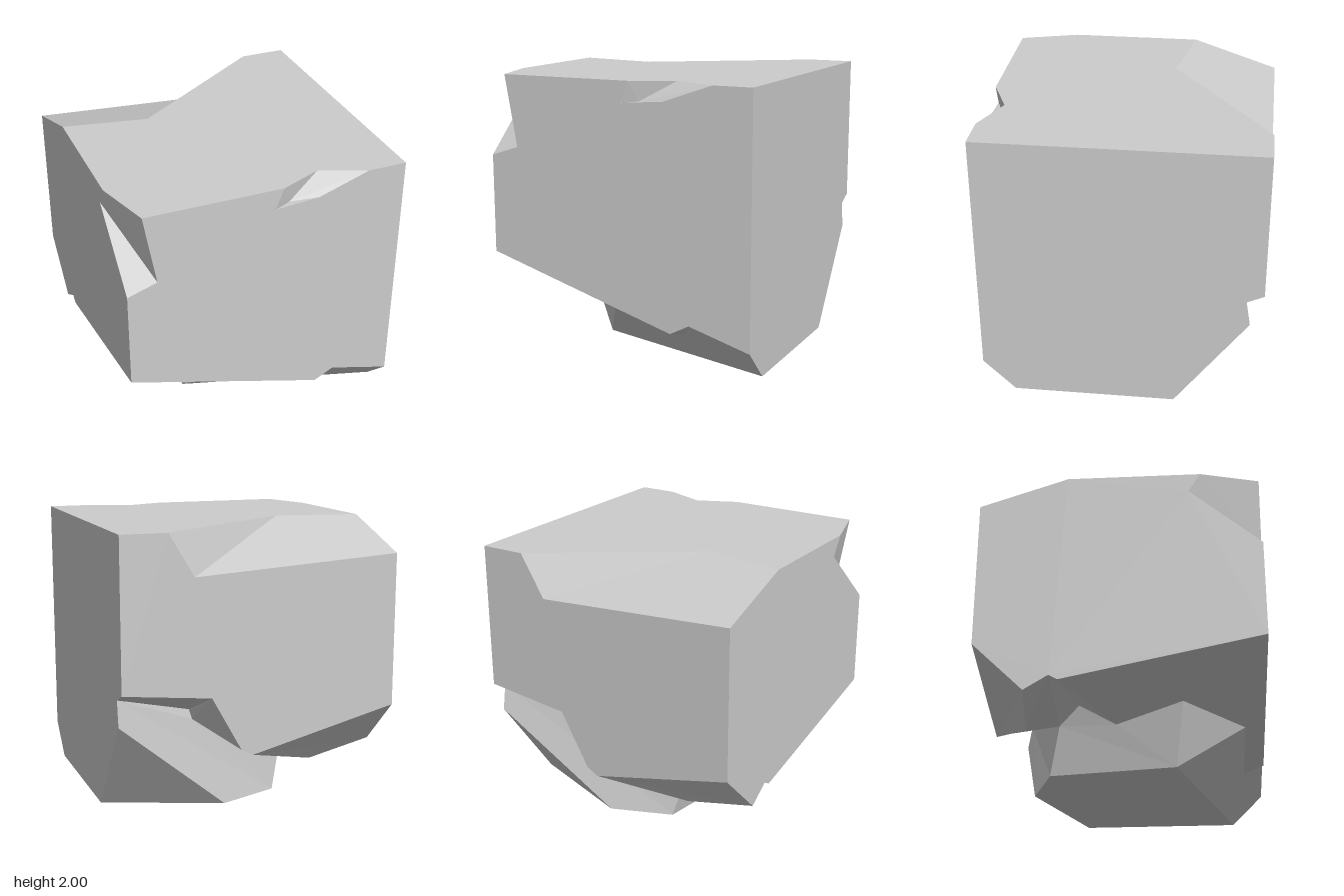
import * as THREE from 'three';

// Corners of the chipped block, grouped by where they sit
const P = {
  // full cube corners
  c1: [1, 2, 1], c2: [1, 2, -1],
  // front top notch
  a1: [0.1, 2, 1], a2: [0.04, 1.85, 1], a3: [0.16, 1.86, 0.955], a4: [0.4, 2, 0.87],
  a5: [0.72, 2, 1], a6: [0.36, 1.875, 1],
  // front corner chip
  b1: [-0.88, 2, 1], b2: [-1, 2, 0.58], b3: [-1, 1.86, 0.49], b4: [-0.79, 1.49, 1], b5: [-1, 1.42, 1],
  // back corner chip
  d1: [0.67, 2, -1], d2: [-0.4, 2, -0.26], d3: [0.49, 1.7, -1], d4: [-1, 2, -0.37], d5: [-1, 1.79, -1],
  // foot
  f1: [1, 0, 0.77], f2: [1, 0, -0.39], f3: [0.17, 0, -0.71], f4: [-0.27, 0, -0.54], f5: [-0.4, 0, 0.36],
  // lower front
  g1: [1, 0.23, 1], g2: [0.55, 0.36, 1], g3: [0.41, 0.285, 1], g4: [0.46, 0.24, 0.852],
  g5: [-0.09, 0.405, 0.856], g6: [-0.52, 0.445, 0.415], g7: [-1, 0.71, 1],
  // lower left side
  h1: [-1, 0.42, -0.41], h2: [-1, 0.455, -0.47], h3: [-1, 0.35, -0.64], h4: [-0.42, 0.32, -0.06],
  h5: [-0.425, 0.47, -0.325], h6: [-0.36, 0.34, -0.47], h7: [-0.5, 0.26, -0.69],
  // lower back
  k1: [1, 0.7, -0.91], k2: [1, 0.885, -0.88], k3: [1, 0.94, -1], k4: [0.37, 0.87, -1],
  k5: [0.43, 0.72, -0.69], k6: [0.41, 0.65, -0.7], k7: [0.155, 0.485, -1], k8: [0.07, 0.44, -1],
  k9: [-1, 0.7, -1],
};

// Each part is a list of facets: corner loop + rough outward direction
const PARTS = {
  topFace: [['c1 c2 d1 d2 d4 b2 b1 a1 a4 a5', [0, 1, 0]]],
  frontFace: [['g1 c1 a5 a6 a2 a1 b1 b4 b5 g7 g3 g2', [0, 0, 1]]],
  rightFace: [['c1 g1 f1 f2 k1 k2 k3 c2', [1, 0, 0]]],
  leftFace: [['b5 g7 h1 h2 h3 k9 d5 d4 b2 b3', [-1, 0, 0]]],
  backFace: [['c2 k3 k4 k7 k8 k9 d5 d3 d1', [0, 0, -1]]],
  bottomFace: [['f1 f2 f3 f4 f5', [0, -1, 0]]],
  frontTopNotch: [
    ['a1 a2 a3 a4', [0, 0, 1]],
    ['a3 a4 a5 a6', [0, 1, 1]],
    ['a2 a3 a6', [0, 1, 0]],
  ],
  frontCornerChip: [
    ['b1 b2 b3 b4', [-1, 0, 0]],
    ['b3 b4 b5', [0, 1, 0]],
  ],
  backCornerChip: [
    ['d1 d2 d3', [0, 0, -1]],
    ['d2 d4 d5 d3', [0, 1, 0]],
  ],
  frontUndercut: [
    ['f5 g5 g4 g2 g1 f1', [0, -1, 1]],
    ['g3 g2 g4', [0, -1, 0]],
    ['f5 g6 g5', [-1, 0, 1]],
  ],
  leftUndercut: [
    ['g7 h1 h4 g6 g5 g4 g3', [0, -1, 0]],
    ['f5 f4 h6 h5 h4 g6', [-1, 0, 0]],
    ['h1 h2 h5 h4', [0, -1, 0]],
    ['h2 h3 h7 h6 h5', [0, -1, 0]],
  ],
  backUndercut: [
    ['k2 k3 k4 k5', [0, -1, 0]],
    ['k2 k5 k6 h6 f4 f3 k1', [0, 0, -1]],
    ['k1 f2 f3', [0, -1, -1]],
    ['k4 k5 k6 k7', [1, 0, 0]],
    ['k7 k6 h6 h7 k8', [0, -1, 0]],
    ['k8 h7 h3 k9', [0, -1, -1]],
  ],
};

// Triangulate one facet and turn every triangle outward
function addFacet(out, loop, outward) {
  const pts = loop.split(' ').map((n) => new THREE.Vector3(...P[n]));
  const dir = new THREE.Vector3(...outward);
  const drop = outward.findIndex((v) => v !== 0);
  const [u, v] = [0, 1, 2].filter((i) => i !== drop);
  const flat = pts.map((p) => new THREE.Vector2(p.getComponent(u), p.getComponent(v)));
  for (const [i, j, k] of THREE.ShapeUtils.triangulateShape(flat, [])) {
    const tri = [pts[i], pts[j], pts[k]];
    const normal = new THREE.Triangle(...tri).getNormal(new THREE.Vector3());
    if (normal.dot(dir) < 0) tri.reverse();
    tri.forEach((p) => out.push(p.x, p.y, p.z));
  }
}

export function createModel() {
  const group = new THREE.Group();
  group.name = 'chippedBlock';
  const material = new THREE.MeshStandardMaterial({ color: 0xcccccc, flatShading: true });
  for (const [name, facets] of Object.entries(PARTS)) {
    const positions = [];
    facets.forEach(([loop, outward]) => addFacet(positions, loop, outward));
    const geometry = new THREE.BufferGeometry();
    geometry.setAttribute('position', new THREE.Float32BufferAttribute(positions, 3));
    geometry.computeVertexNormals();
    const mesh = new THREE.Mesh(geometry, material);
    mesh.name = name;
    group.add(mesh);
  }
  return group;
}
